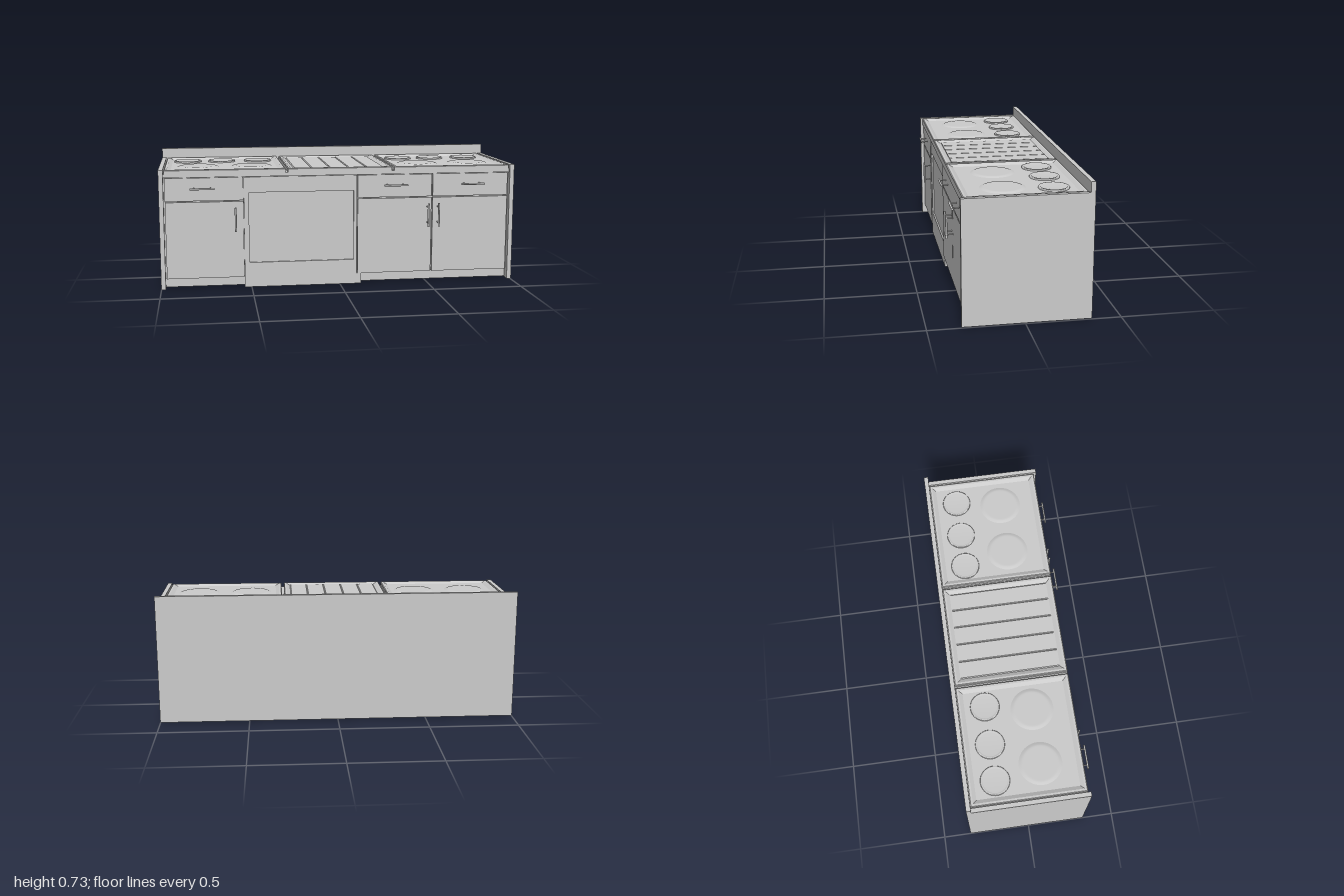
import * as THREE from 'three';

const material = new THREE.MeshStandardMaterial({ color: 0xcccccc, side: THREE.DoubleSide });

export function createModel() {
  const model = new THREE.Group();
  model.name = 'cookingCounter';

  const add = (name, geometry, parent = model) => {
    const mesh = new THREE.Mesh(geometry, material);
    mesh.name = name;
    parent.add(mesh);
    return mesh;
  };

  // Box given by its lower and upper limits on each axis
  const box = (name, x0, x1, y0, y1, z0, z1) => {
    const mesh = add(name, new THREE.BoxGeometry(x1 - x0, y1 - y0, z1 - z0));
    mesh.position.set((x0 + x1) / 2, (y0 + y1) / 2, (z0 + z1) / 2);
    return mesh;
  };

  // Carcass: back with splash, sides, raised floor and toe kick
  box('backPanel', -1, 1, 0.004, 0.725, -0.345, -0.32);
  for (const s of [-1, 1]) {
    const side = box('sidePanel', -0.0125, 0.0125, 0.004, 0.67, -0.32, 0.325);
    side.position.x = s * 0.9875;
  }
  box('carcass', -0.975, 0.975, 0.06, 0.625, -0.32, 0.29);
  box('toeKick', -0.975, 0.975, 0.008, 0.06, 0.26, 0.275);
  box('counterBase', -0.975, 0.975, 0.625, 0.645, -0.32, 0.31);

  // Drawer and door fronts
  for (const [x0, x1] of [[-0.968, -0.54], [0.1, 0.524], [0.531, 0.968]]) {
    box('drawerFront', x0, x1, 0.494, 0.622, 0.285, 0.305);
    box('cabinetDoor', x0, x1, 0.06, 0.488, 0.285, 0.305);
  }

  // Oven front reaching the ground, with a recessed pane
  const front = new THREE.Shape([
    [-0.538, 0], [0.12, 0], [0.12, 0.06], [0.095, 0.06], [0.095, 0.622], [-0.538, 0.622],
  ].map(([x, y]) => new THREE.Vector2(x, y)));
  front.holes.push(new THREE.Path([
    [-0.51, 0.14], [-0.51, 0.535], [0.078, 0.535], [0.078, 0.14],
  ].map(([x, y]) => new THREE.Vector2(x, y))));
  add('ovenFront', new THREE.ExtrudeGeometry(front, { depth: 0.026, bevelEnabled: false })).position.z = 0.275;
  box('ovenPane', -0.51, 0.078, 0.14, 0.535, 0.28, 0.292);

  // Bar handle on two posts, lying along x unless turned upright
  const handle = (x, y, upright) => {
    const group = new THREE.Group();
    group.name = upright ? 'doorHandle' : 'drawerHandle';
    group.position.set(x, y, 0.342);
    if (upright) group.rotation.z = Math.PI / 2;
    add('bar', new THREE.CylinderGeometry(0.0055, 0.0055, 0.134, 16).rotateZ(Math.PI / 2), group);
    for (const s of [-1, 1]) {
      const post = add('post', new THREE.CylinderGeometry(0.004, 0.004, 0.038, 12).rotateX(Math.PI / 2), group);
      post.position.set(s * 0.045, 0, -0.019);
    }
    model.add(group);
  };
  for (const x of [-0.764, 0.312, 0.755]) handle(x, 0.565, false);
  for (const x of [-0.585, 0.5, 0.56]) handle(x, 0.391, true);

  // Shallow tray from nested rectangles: skirt, rim, sloping wall and floor
  const floorY = 0.658;
  const tray = (name, x0, x1) => {
    const rings = [[0, 0.645], [0, 0.664], [0.004, 0.668], [0.016, 0.668], [0.036, floorY]];
    const points = rings.map(([inset, y]) => [
      [x0 + inset, y, 0.31 - inset], [x1 - inset, y, 0.31 - inset],
      [x1 - inset, y, -0.32 + inset], [x0 + inset, y, -0.32 + inset],
    ]);
    const positions = [];
    const quad = (a, b, c, d) => positions.push(...a, ...b, ...c, ...a, ...c, ...d);
    for (let r = 0; r < rings.length - 1; r++) {
      for (let i = 0; i < 4; i++) {
        const j = (i + 1) % 4;
        quad(points[r][i], points[r][j], points[r + 1][j], points[r + 1][i]);
      }
    }
    quad(...points[rings.length - 1]);
    const geometry = new THREE.BufferGeometry();
    geometry.setAttribute('position', new THREE.Float32BufferAttribute(positions, 3));
    geometry.computeVertexNormals();
    add(name, geometry);
  };
  tray('leftHob', 0.306, 0.97);
  tray('rightHob', -0.97, -0.306);
  tray('griddleTray', -0.292, 0.292);

  // Griddle plate: slats divided by V grooves
  const plate = new THREE.Shape();
  plate.moveTo(-0.255, 0);
  plate.lineTo(-0.25, 0.005);
  for (const x of [-0.155, -0.052, 0.052, 0.155]) {
    plate.lineTo(x - 0.004, 0.005);
    plate.lineTo(x, 0.001);
    plate.lineTo(x + 0.004, 0.005);
  }
  plate.lineTo(0.25, 0.005);
  plate.lineTo(0.255, 0);
  add('griddlePlate', new THREE.ExtrudeGeometry(plate, { depth: 0.55, bevelEnabled: false }))
    .position.set(0, floorY, -0.28);

  // Burners: three small ringed plates at the back, two broad soft ones in front
  const lathe = (name, profile, x, z) => {
    const geometry = new THREE.LatheGeometry(profile.map(([r, y]) => new THREE.Vector2(r, y)), 48);
    add(name, geometry).position.set(x, floorY, z);
  };
  const small = [[0.08, 0], [0.08, 0.006], [0.077, 0.009], [0.069, 0.009], [0.066, 0.005], [0, 0.005]];
  const broad = [[0.118, 0], [0.112, 0.002], [0.104, 0.005], [0.097, 0.006], [0.09, 0.006], [0, 0.006]];
  for (const x of [-0.845, -0.645, -0.432, 0.425, 0.623, 0.836]) lathe('smallBurner', small, x, -0.172);
  for (const x of [-0.785, -0.48, 0.487, 0.79]) lathe('largeBurner', broad, x, 0.082);

  return model;
}
